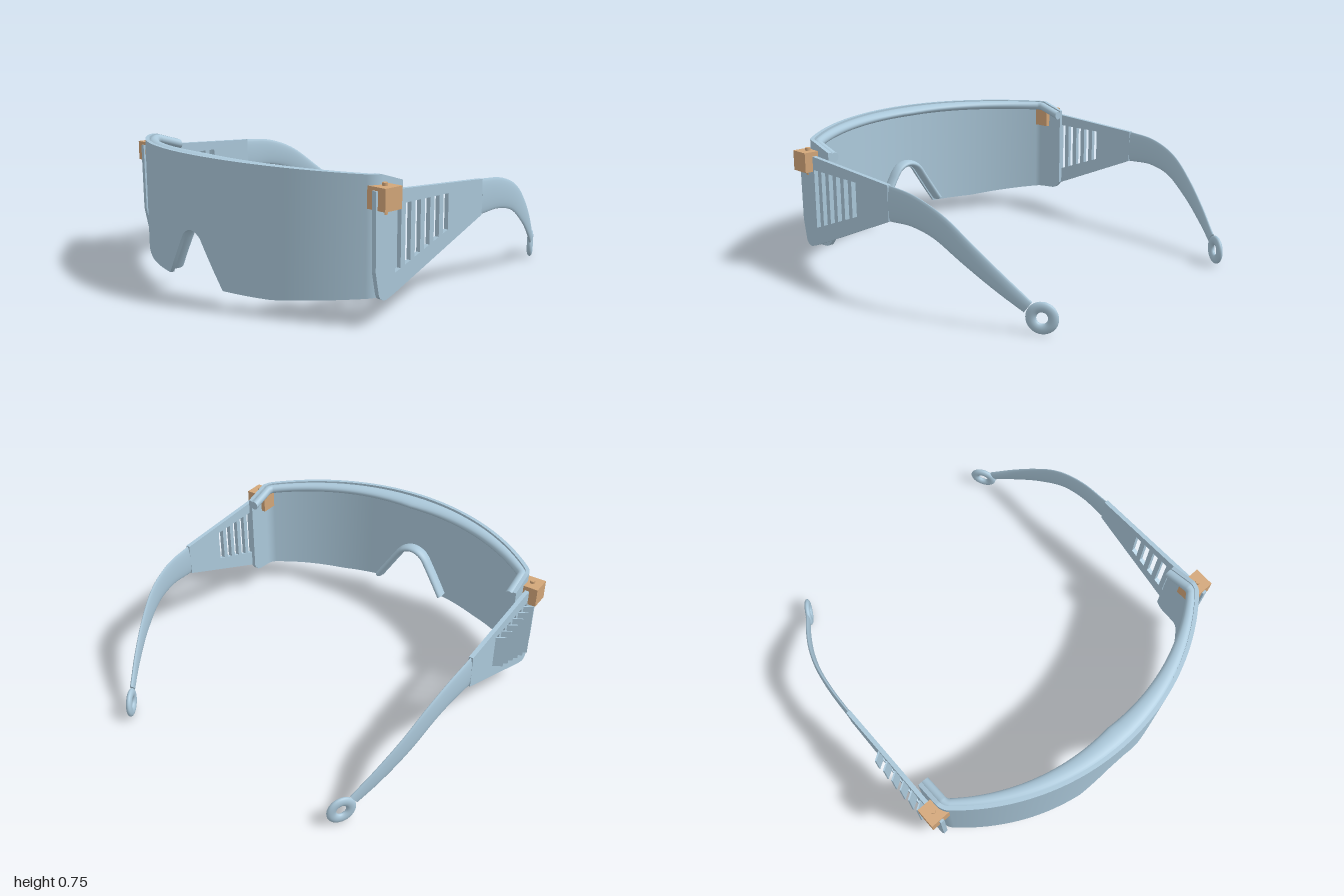
import * as THREE from 'three';

const frameBlue = new THREE.MeshStandardMaterial({ color: 0xabc8da });
frameBlue.name = 'frame blue';
const hingeTan = new THREE.MeshStandardMaterial({ color: 0xd2a679 });
hingeTan.name = 'hinge tan';

const V = (x, y, z) => new THREE.Vector3(x, y, z);
const lerp = THREE.MathUtils.lerp;

function add(parent, name, geometry, material = frameBlue) {
  const mesh = new THREE.Mesh(geometry, material);
  mesh.name = name;
  parent.add(mesh);
  return mesh;
}

// Skin closed cross-sections; sharp keeps every lengthwise edge crisp. Ends are capped.
function loft(rings, sharp = false) {
  const pos = [], index = [];
  const n = rings[0].length;
  const push = (p) => pos.push(p.x, p.y, p.z) / 3 - 1;
  const strip = (columns) => {
    const ids = rings.map((r) => columns.map((j) => push(r[j % n])));
    for (let i = 0; i + 1 < rings.length; i++) {
      for (let j = 0; j + 1 < columns.length; j++) {
        const a = ids[i][j], b = ids[i][j + 1], c = ids[i + 1][j], d = ids[i + 1][j + 1];
        index.push(a, b, c, b, d, c);
      }
    }
    return ids;
  };
  if (sharp) for (let j = 0; j < n; j++) strip([j, j + 1]);
  else {
    // Reuse the first column so the seam stays smooth
    const ids = rings.map((r) => r.map(push));
    for (let i = 0; i + 1 < rings.length; i++) {
      for (let j = 0; j < n; j++) {
        const k = (j + 1) % n;
        index.push(ids[i][j], ids[i][k], ids[i + 1][j], ids[i][k], ids[i + 1][k], ids[i + 1][j]);
      }
    }
  }
  const start = rings[0].map(push), end = rings[rings.length - 1].map(push);
  for (let j = 1; j + 1 < n; j++) {
    index.push(start[0], start[j + 1], start[j], end[0], end[j], end[j + 1]);
  }
  const g = new THREE.BufferGeometry();
  g.setAttribute('position', new THREE.Float32BufferAttribute(pos, 3));
  g.setIndex(index);
  g.computeVertexNormals();
  return g;
}

// Elliptical cross-section around c, spanned by half axes a then b
function ellipse(c, a, b, n = 20) {
  return Array.from({ length: n }, (_, i) => {
    const t = (i / n) * Math.PI * 2;
    return c.clone().addScaledVector(a, Math.cos(t)).addScaledVector(b, Math.sin(t));
  });
}

// Wraparound plan curve: wide arc, rounded corner, short straight side
const R = 1.31, SWEEP = THREE.MathUtils.degToRad(42.5), CORNER = 0.1;
const arcZ = (x) => Math.sqrt(R * R - x * x) - 0.31;

function notchY(x) {
  x = Math.abs(x);
  if (x < 0.07) return 0.36 - 0.03 * (x / 0.07) ** 2;
  return lerp(0.33, 0.09, (x - 0.07) / 0.155);
}

function planCurve() {
  const half = [];
  const edge = R * Math.sin(SWEEP);
  const xs = [0, 0.018, 0.036, 0.053, 0.07, 0.12, 0.17, 0.225];
  for (let i = 1; i <= 18; i++) xs.push(lerp(0.225, edge, i / 18));
  for (const x of xs) half.push({ x, z: arcZ(x), a: Math.asin(x / R) });
  const cx = (R - CORNER) * Math.sin(SWEEP), cz = (R - CORNER) * Math.cos(SWEEP) - 0.31;
  for (let i = 1; i <= 8; i++) {
    const a = lerp(SWEEP, Math.PI / 2, i / 8);
    half.push({ x: cx + CORNER * Math.sin(a), z: cz + CORNER * Math.cos(a), a });
  }
  for (const z of [0.54, 0.5, 0.475, 0.457, 0.445]) half.push({ x: cx + CORNER, z, a: Math.PI / 2 });
  for (const p of half) {
    const back = Math.max(0, 0.59 - p.z) / 0.145;
    p.top = 0.745 - 0.03 * (p.x / 0.92) ** 2 - 0.045 * back;
    p.bottom = p.x < 0.225 ? notchY(p.x) : 0.09 + 0.045 * Math.max(0, (p.x - 0.5) / 0.42);
    p.bottom += 0.012 * back + 0.04 * Math.max(0, (0.5 - p.z) / 0.055) ** 2;
  }
  const left = half.slice(1).reverse().map((p) => ({ ...p, x: -p.x, a: -p.a }));
  return [...left, ...half];
}

function buildShield(group) {
  const curve = planCurve();
  const inset = (p, d, y) => V(p.x - d * Math.sin(p.a), y, p.z - d * Math.cos(p.a));

  add(group, 'lens', loft(curve.map((p) => [
    inset(p, 0.022, p.top), inset(p, 0, p.top), inset(p, 0, p.bottom), inset(p, 0.022, p.bottom),
  ]), true));

  // Rounded brow rim, deepest in the middle
  add(group, 'browRim', loft(curve.map((p) => {
    const depth = lerp(0.058, 0.025, Math.min(1, Math.abs(p.x) / 0.9));
    return ellipse(inset(p, 0.015 + depth, p.top - 0.028), V(0, 0.026, 0),
      V(Math.sin(p.a), 0, Math.cos(p.a)).multiplyScalar(depth));
  })));

  // Padded flange behind the nose opening
  const xs = [];
  for (let i = -14; i <= 14; i++) xs.push((i / 14) * 0.215);
  add(group, 'noseFlange', loft(xs.map((x) => {
    const T = V(0.01, notchY(x + 0.005) - notchY(x - 0.005), 0).normalize();
    const N = V(-T.y, T.x, 0);
    const c = V(x, notchY(x), arcZ(x) - 0.05).addScaledVector(N, 0.02);
    return ellipse(c, N.multiplyScalar(0.02), V(0, 0, 0.04));
  })));
}

// Vent slots in the temple plate
const slots = Array.from({ length: 6 }, (_, i) => 0.173 + i * 0.068);
const slotBottom = (z) => 0.39 - 0.375 * (z - 0.15);

function templeGeometry() {
  const s = new THREE.Shape();
  s.moveTo(-0.665, 0.65);
  s.lineTo(-0.662, 0.27);
  s.lineTo(-0.64, 0.16);
  s.quadraticCurveTo(-0.63, 0.128, -0.59, 0.128);
  s.lineTo(-0.54, 0.145);
  s.lineTo(0.113, 0.42);
  s.lineTo(0.113, 0.605);
  s.lineTo(-0.45, 0.637);
  s.closePath();
  for (const z of slots) {
    const a = z - 0.019, b = z + 0.019;
    s.holes.push(new THREE.Path([
      new THREE.Vector2(-b, 0.57), new THREE.Vector2(-a, 0.57),
      new THREE.Vector2(-a, slotBottom(a)), new THREE.Vector2(-b, slotBottom(b)),
    ]));
  }
  const g = new THREE.ExtrudeGeometry(s, { depth: 0.024, bevelEnabled: false });
  return g.translate(0, 0, -0.012).rotateY(Math.PI / 2);
}

function buildSide(group, s) {
  const side = new THREE.Group();
  side.name = s > 0 ? 'leftSide' : 'rightSide';
  group.add(side);

  add(side, 'templePlate', templeGeometry()).position.x = s * 0.942;

  // Curved, tapering ear piece
  const path = new THREE.CatmullRomCurve3([
    [0.942, 0.512, -0.113], [0.934, 0.506, -0.28], [0.912, 0.458, -0.44],
    [0.868, 0.348, -0.6], [0.805, 0.228, -0.75], [0.742, 0.128, -0.87],
  ].map(([x, y, z]) => V(s * x, y, z)));
  const rings = [];
  for (let i = 0; i <= 40; i++) {
    const t = i / 40;
    const T = path.getTangent(t);
    const B = T.clone().cross(V(0, 1, 0)).normalize();
    const N = B.clone().cross(T);
    rings.push(ellipse(path.getPoint(t), N.multiplyScalar(lerp(0.093, 0.034, t)), B.multiplyScalar(0.012)));
  }
  add(side, 'earPiece', loft(rings));

  // Cord loop at the tip, lying in line with the ear piece
  const loop = add(side, 'cordLoop', new THREE.TorusGeometry(0.054, 0.026, 16, 36).scale(1, 1, 0.6));
  loop.position.set(s * 0.705, 0.08, -0.925);
  loop.rotation.y = s * -Math.atan2(0.85, 0.52);

  // Hinge block and pin
  const block = add(side, 'hingeBlock', new THREE.BoxGeometry(0.13, 0.108, 0.112), hingeTan);
  block.position.set(s * 0.935, 0.613, 0.597);
  const pin = add(side, 'hingePin', new THREE.CylinderGeometry(0.014, 0.014, 0.148, 20), hingeTan);
  pin.position.set(s * 0.945, 0.608, 0.597);

  // Slanted vent louvers on the right temple only
  if (s < 0) {
    for (const z of slots) {
      const low = slotBottom(z);
      const louver = add(side, 'ventLouver', new THREE.BoxGeometry(0.058, 0.57 - low, 0.008));
      louver.position.set(-0.975, (0.57 + low) / 2, z - 0.006);
      louver.rotation.y = 0.56;
    }
  }
}

export function createModel() {
  const group = new THREE.Group();
  group.name = 'safetyGlasses';
  buildShield(group);
  for (const s of [1, -1]) buildSide(group, s);
  return group;
}
